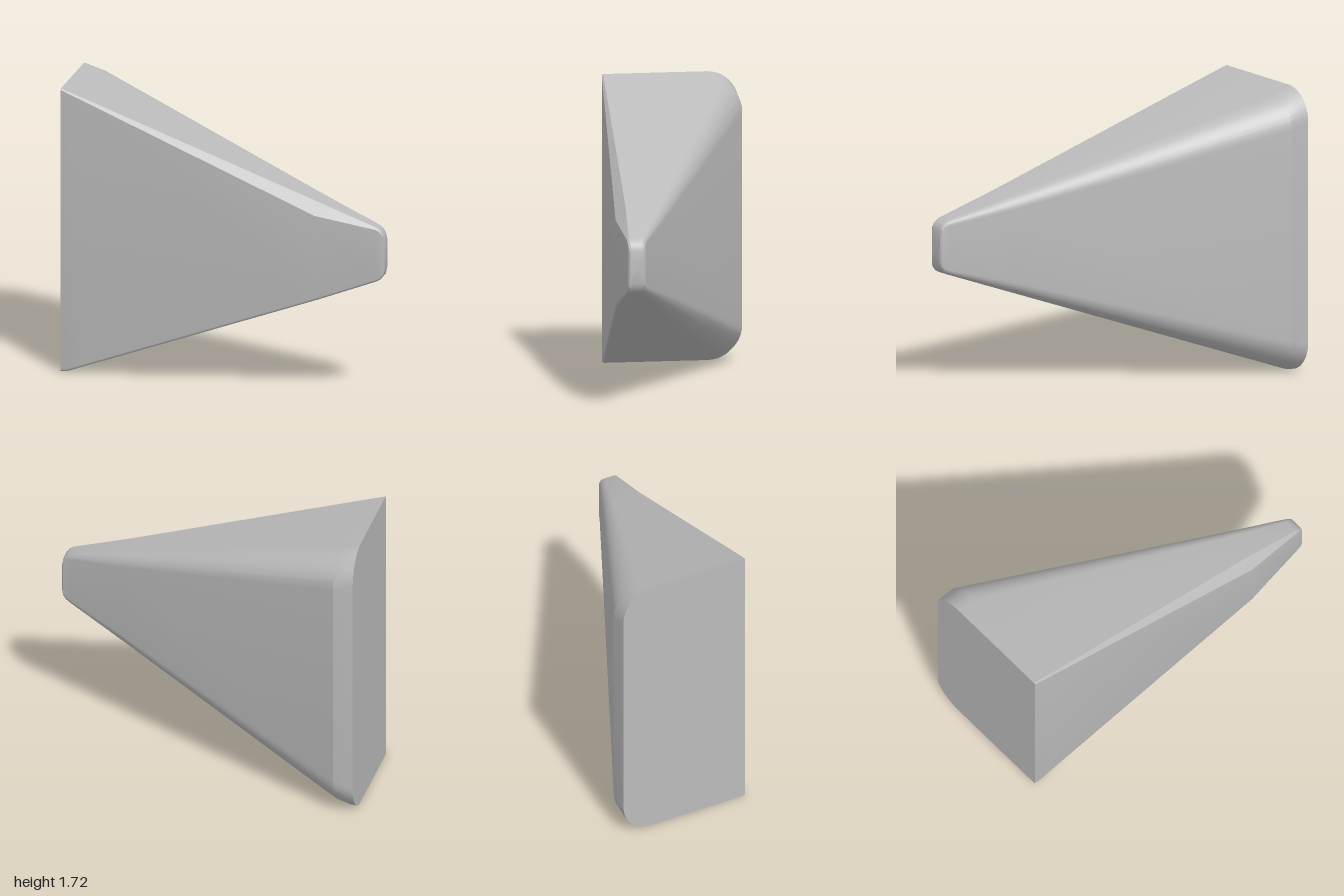
import * as THREE from 'three';
import { toCreasedNormals } from 'three/addons/utils/BufferGeometryUtils.js';

// Cross-sections along x: [x, bottom, top, back z, front z, back corner radius, chamfer height, chamfer depth]
const STATIONS = [
  [-1, 0, 1.72, -0.52, 0.3, 0.19, 0.008, 0.008],
  [-0.96, 0.004, 1.706, -0.52, 0.306, 0.19, 0.01, 0.01],
  [-0.88, 0.034, 1.678, -0.52, 0.317, 0.185, 0.013, 0.012],
  [0.58, 0.565, 1.157, 0.214, 0.517, 0.07, 0.075, 0.06],
  [0.95, 0.7, 1.028, 0.4, 0.52, 0.03, 0.012, 0.012],
  [0.975, 0.713, 1.012, 0.411, 0.52, 0.028, 0.012, 0.012],
  [0.992, 0.735, 0.988, 0.417, 0.517, 0.026, 0.012, 0.012],
  [1, 0.765, 0.955, 0.426, 0.508, 0.024, 0.012, 0.012],
];

// Closed outline of one cross-section, counter-clockwise seen from +x
function section([x, y0, y1, zb, zf, r, ch, cd]) {
  const pts = [];
  const arc = (z, y, radius, start, steps) => {
    for (let i = 0; i <= steps; i++) {
      const a = start + (i / steps) * Math.PI / 2;
      pts.push([x, y + radius * Math.sin(a), z - radius * Math.cos(a)]);
    }
  };
  const e = 0.016;
  arc(zf - e, y0 + e, e, Math.PI, 5);          // front bottom edge
  arc(zb + r, y0 + r, r, -Math.PI / 2, 10);    // back bottom edge
  arc(zb + r, y1 - r, r, 0, 10);               // back top edge
  pts.push([x, y1, zf - cd], [x, y1 - ch, zf]); // front top chamfer
  return pts;
}

function loft(stations) {
  const rings = stations.map(section);
  const n = rings[0].length;
  const position = rings.flat(2);
  const index = [];
  for (let i = 0; i < rings.length - 1; i++) {
    for (let j = 0; j < n; j++) {
      const k = (j + 1) % n;
      const a = i * n + j, b = i * n + k, c = a + n, d = b + n;
      index.push(a, b, d, a, d, c);
    }
  }
  // End caps
  [0, rings.length - 1].forEach((i) => {
    const [x, y0, y1, zb, zf] = stations[i];
    const centre = position.length / 3;
    position.push(x, (y0 + y1) / 2, (zb + zf) / 2);
    for (let j = 0; j < n; j++) {
      const a = i * n + j, b = i * n + ((j + 1) % n);
      if (i === 0) index.push(centre, b, a);
      else index.push(centre, a, b);
    }
  });
  const geometry = new THREE.BufferGeometry();
  geometry.setAttribute('position', new THREE.Float32BufferAttribute(position, 3));
  geometry.setIndex(index);
  return toCreasedNormals(geometry, 0.42);
}

export function createModel() {
  const group = new THREE.Group();
  group.name = 'taperedWedge';
  const grey = new THREE.MeshStandardMaterial({ color: 0xbbbbbb });
  grey.name = 'grey';
  const body = new THREE.Mesh(loft(STATIONS), grey);
  body.name = 'wedgeBody';
  group.add(body);
  return group;
}
